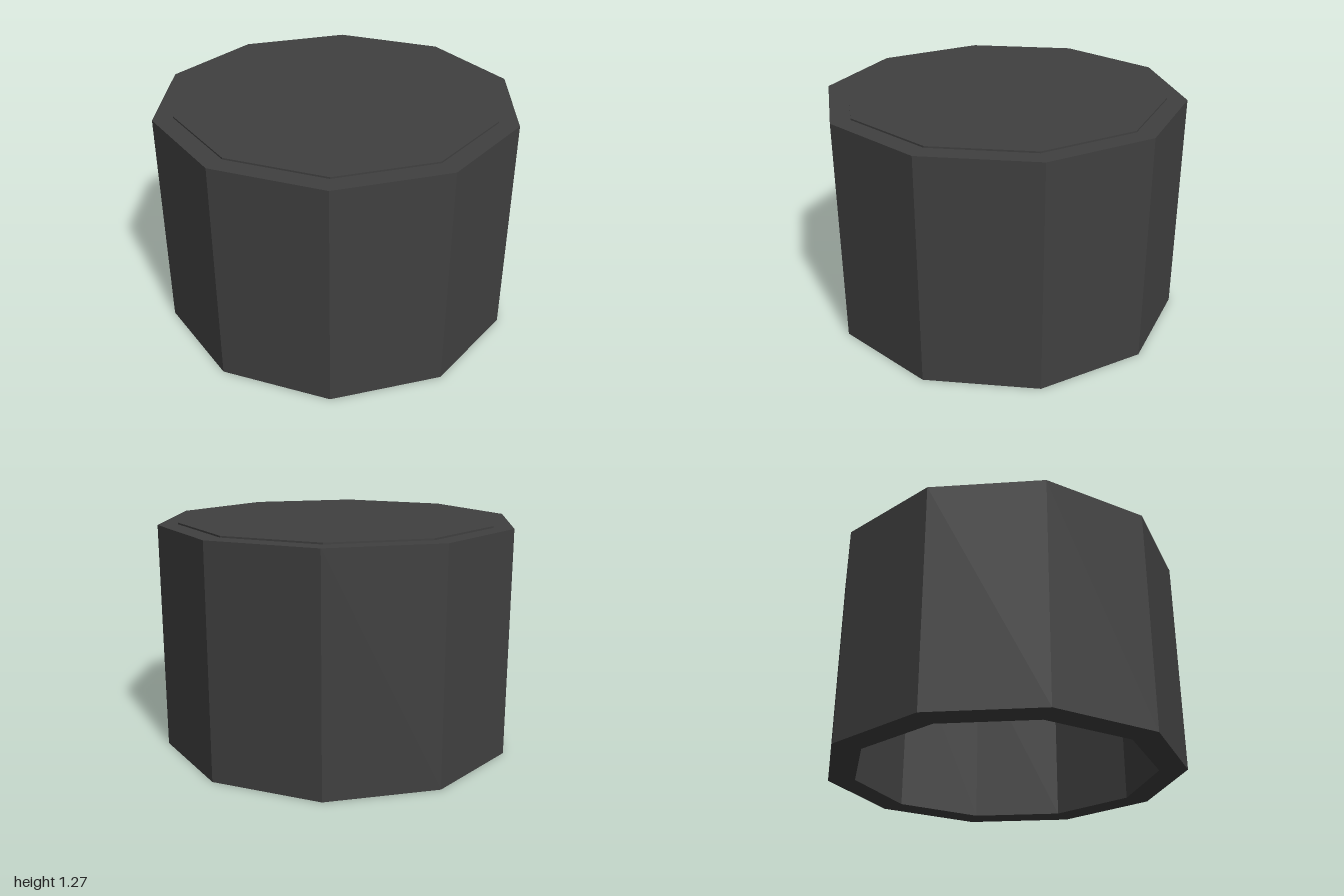
import * as THREE from 'three';

const SIDES = 10;

// Split the corners so every facet shades flat
function faceted(geometry) {
  const flat = geometry.toNonIndexed();
  flat.computeVertexNormals();
  return flat;
}

export function createModel() {
  const group = new THREE.Group();
  group.name = 'cap';
  const charcoal = new THREE.MeshStandardMaterial({ color: 0x404040 });
  charcoal.name = 'charcoal';

  // Hollow ten-sided shell, open underneath
  const height = 1.26, inner = 0.845, roof = 1.11;
  const profile = [
    [0, roof], [inner, roof], [inner, 0], [1, 0], [1, height], [0, height],
  ].map(([x, y]) => new THREE.Vector2(x, y));
  const shell = new THREE.Mesh(faceted(new THREE.LatheGeometry(profile, SIDES)), charcoal);
  shell.name = 'shell';
  group.add(shell);

  // Thin raised plate on the top
  const plateProfile = [[0.89, height], [0.89, height + 0.009], [0, height + 0.009]]
    .map(([x, y]) => new THREE.Vector2(x, y));
  const plate = new THREE.Mesh(faceted(new THREE.LatheGeometry(plateProfile, SIDES)), charcoal);
  plate.name = 'topPlate';
  group.add(plate);

  return group;
}
